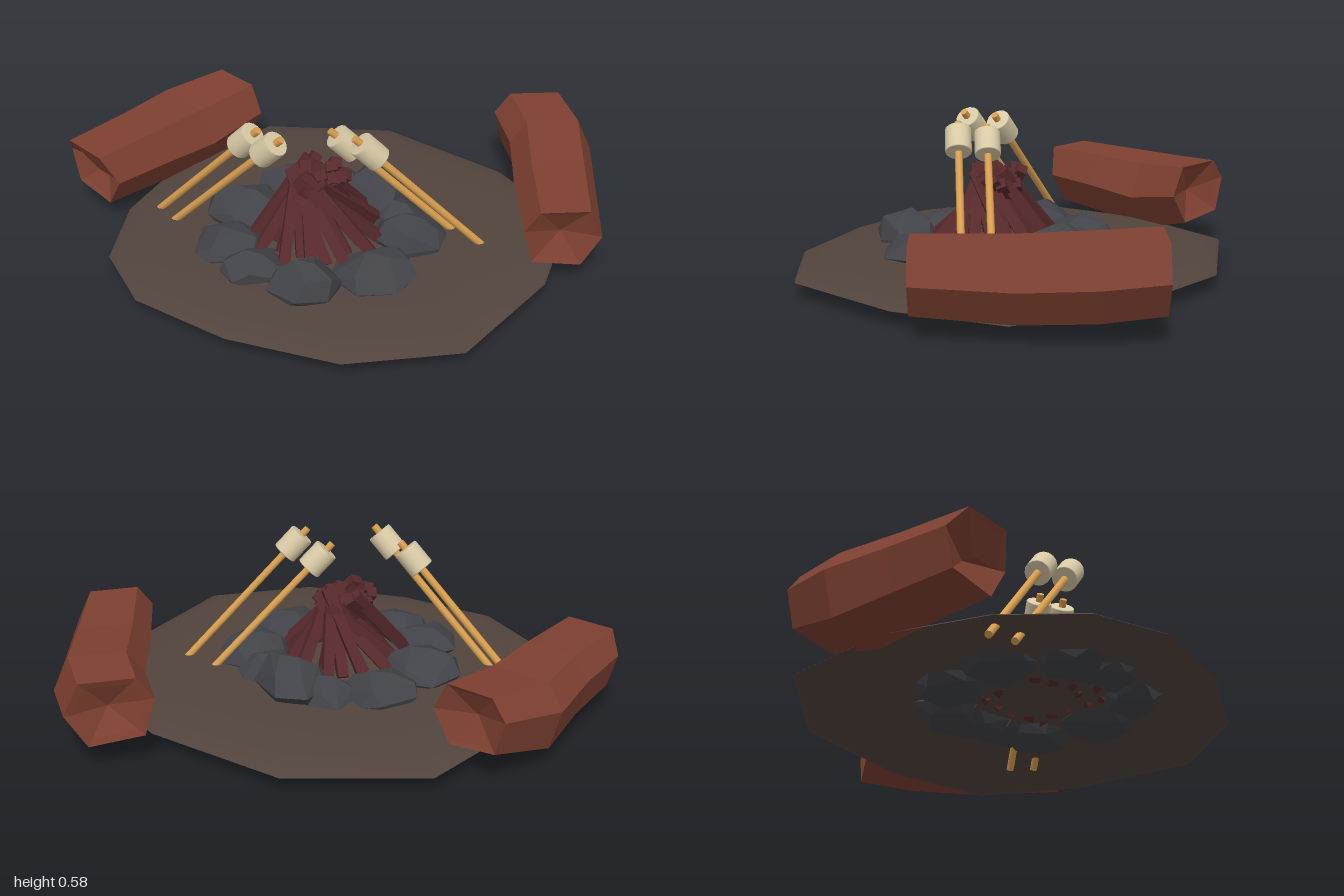
import * as THREE from 'three';
import { ConvexGeometry } from 'three/addons/geometries/ConvexGeometry.js';

const V = (x, y, z) => new THREE.Vector3(x, y, z);
const material = (name, color, flatShading = true) => {
  const m = new THREE.MeshStandardMaterial({ color, flatShading });
  m.name = name;
  return m;
};

// Small seeded generator, so the rough shapes are always the same
function seeded(seed) {
  return () => {
    seed = (seed * 16807) % 2147483647;
    return seed / 2147483647;
  };
}

// Surface through a list of rings that all have the same number of points
function loft(rings) {
  const n = rings[0].length, index = [];
  for (let i = 0; i < rings.length - 1; i++) {
    for (let j = 0; j < n; j++) {
      const k = (j + 1) % n;
      const a = i * n + j, b = i * n + k, c = a + n, d = b + n;
      index.push(a, c, b, b, c, d);
    }
  }
  const g = new THREE.BufferGeometry().setFromPoints(rings.flat());
  g.setIndex(index);
  g.computeVertexNormals();
  return g;
}

// Place a y-aligned mesh so that it runs between two points
function between(mesh, from, to) {
  mesh.position.copy(from).add(to).multiplyScalar(0.5);
  mesh.quaternion.setFromUnitVectors(V(0, 1, 0), to.clone().sub(from).normalize());
  return mesh;
}

export function createModel() {
  const model = new THREE.Group();
  model.name = 'campfire';
  const soil = material('soil brown', 0x52443d, false);
  soil.side = THREE.DoubleSide;
  const bark = material('bark red brown', 0x7e4031);
  const stone = material('stone grey', 0x424348);
  const twigWood = material('dark twig', 0x56292b);
  const stickWood = material('golden stick', 0xdaa04f, false);
  const cream = material('cream', 0xd9caa6, false);

  const add = (name, geometry, mat, parent = model) => {
    const mesh = new THREE.Mesh(geometry, mat);
    mesh.name = name;
    parent.add(mesh);
    return mesh;
  };

  // Low mound of earth: an open shell, its outline scaled into rings
  const outline = [[-0.2, -0.78], [0.3, -0.67], [0.68, -0.28], [0.85, 0.1], [0.66, 0.48], [0.3, 0.82],
    [-0.12, 0.82], [-0.49, 0.63], [-0.78, 0.37], [-0.87, 0.09], [-0.79, -0.22], [-0.58, -0.53]];
  const mound = [[1, 0.063], [0.985, 0.072], [0.9, 0.086], [0.7, 0.097], [0.4, 0.1], [0, 0.1]];
  add('ground', loft(mound.map(([s, y]) => outline.map(([x, z]) => V(x * s, y, z * s)))), soil);

  // Bent six-sided logs with hollowed ends; the upper edge may overhang at the first end
  const section = [[0.14, 0], [0.09, 0.11], [-0.09, 0.115], [-0.145, 0.04], [-0.11, -0.09], [0.07, -0.115]];
  function log(name, along, overhang, stations) {
    along.normalize();
    const side = V(-along.z, 0, along.x);
    const last = stations.length - 1;
    const ring = (i, scale, inset = 0) => section.map(([s, y]) => {
      const [x, cy, z] = stations[i];
      const shift = i === 0 && y > 0.1 ? inset - overhang : inset;
      return V(x, cy + y * scale, z)
        .addScaledVector(side, s * scale)
        .addScaledVector(along, shift);
    });
    const rings = [ring(0, 0, 0.06), ring(0, 0.86, 0.01)];
    stations.forEach((st, i) => rings.push(ring(i, st[3])));
    rings.push(ring(last, 0.86, -0.01), ring(last, 0, -0.06));
    add(name, loft(rings), bark);
  }
  log('leftLog', V(0.04, 0, -1), 0,
    [[0.735, 0.205, 0.415, 1], [0.795, 0.2, 0.08, 1.1], [0.845, 0.217, -0.18, 1.12], [0.83, 0.228, -0.4, 1.08]]);
  log('rightLog', V(0.79, 0, -0.62), 0.045,
    [[-0.905, 0.205, -0.29, 1], [-0.72, 0.2, -0.44, 1.08], [-0.55, 0.185, -0.595, 1.2], [-0.33, 0.23, -0.715, 1]]);

  // Ring of rough stones: x, z, radius in x, radius in z, bottom, top
  const stones = [
    [-0.16, -0.23, 0.16, 0.14, 0.03, 0.19], [0.03, -0.2, 0.12, 0.12, 0.005, 0.18],
    [0.15, -0.11, 0.13, 0.18, 0.03, 0.23], [0.21, 0.04, 0.12, 0.12, 0.05, 0.17],
    [0.23, 0.18, 0.14, 0.14, 0.03, 0.2], [0.07, 0.38, 0.16, 0.15, 0.025, 0.18],
    [-0.19, 0.43, 0.14, 0.12, 0.03, 0.21], [-0.36, 0.29, 0.13, 0.12, 0.05, 0.17],
    [-0.43, 0.13, 0.13, 0.14, 0.05, 0.17], [-0.35, -0.09, 0.16, 0.16, 0.04, 0.2],
  ];
  const rand = seeded(4217);
  const ringOfStones = new THREE.Group();
  ringOfStones.name = 'stones';
  model.add(ringOfStones);
  for (const [x, z, rx, rz, low, top] of stones) {
    const points = [V(0.1, -1, 0), V(0.25, 0.95, 0.1), V(-0.2, 1, -0.15)];
    for (const [count, y, r] of [[5, -0.6, 0.75], [7, -0.05, 1], [4, 0.55, 0.75]]) {
      for (let k = 0; k < count; k++) {
        const a = (k + rand() * 0.6) / count * Math.PI * 2;
        const q = r * (0.92 + rand() * 0.14);
        points.push(V(Math.cos(a) * q, y + (rand() - 0.5) * 0.35, Math.sin(a) * q));
      }
    }
    const half = (top - low) / 2;
    points.forEach((p) => p.multiply(V(rx, half, rz)));
    add('stone', new ConvexGeometry(points), stone, ringOfStones).position.set(x, low + half, z);
  }

  // Cone of leaning twigs whose tips cross near the top
  const twigs = new THREE.Group();
  twigs.name = 'twigs';
  model.add(twigs);
  const twigCount = 26;
  for (let i = 0; i < twigCount; i++) {
    const a = (i + rand() * 0.6) / twigCount * Math.PI * 2;
    const r = i % 2 ? 0.25 : 0.16 + rand() * 0.05;
    const tip = a + 1.1 + rand() * 1.3;
    const tr = 0.05 + rand() * 0.06;
    const from = V(-0.1 + Math.cos(a) * r, 0.1, 0.1 + Math.sin(a) * r);
    const to = V(-0.1 + Math.cos(tip) * tr, 0.34 + rand() * 0.05, 0.1 + Math.sin(tip) * tr);
    const box = new THREE.BoxGeometry(0.04, from.distanceTo(to), 0.04);
    between(add('twig', box, twigWood, twigs), from, to);
  }

  // Roasting sticks, each with a marshmallow just below the tip
  const sticks = [
    [V(-0.71, 0.035, -0.21), V(-0.31, 0.55, 0.09)],
    [V(-0.65, 0.05, -0.11), V(-0.24, 0.575, 0.21)],
    [V(0.45, 0.035, 0.13), V(-0.06, 0.55, 0.13)],
    [V(0.505, 0.065, 0.238), V(0.01, 0.575, 0.238)],
  ];
  const profile = [[0, -0.05], [0.045, -0.05], [0.045, -0.05], [0.048, -0.046], [0.048, -0.046],
    [0.048, 0.046], [0.048, 0.046], [0.045, 0.05], [0.045, 0.05], [0, 0.05]]
    .map(([x, y]) => new THREE.Vector2(x, y));
  const marshmallow = new THREE.LatheGeometry(profile.filter((p, i) => i === 0 || !p.equals(profile[i - 1])), 16);
  for (const [from, to] of sticks) {
    const length = from.distanceTo(to);
    const stick = between(new THREE.Group(), from, to);
    stick.name = 'roastingStick';
    model.add(stick);
    add('stick', new THREE.CylinderGeometry(0.014, 0.014, length, 8), stickWood, stick);
    add('marshmallow', marshmallow, cream, stick).position.y = length / 2 - 0.08;
  }
  return model;
}
